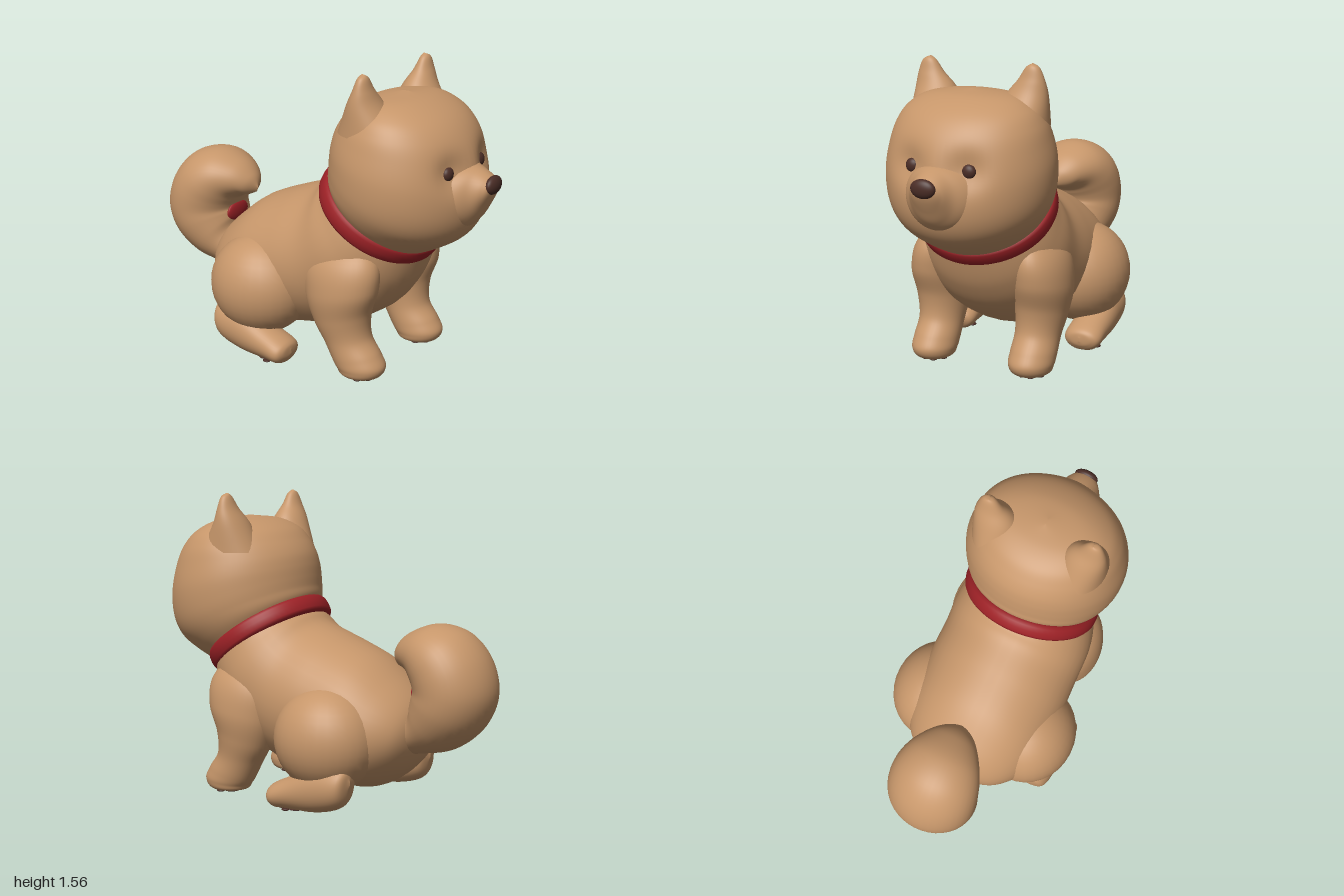
import * as THREE from 'three';

const mat = (name, color) => Object.assign(new THREE.MeshStandardMaterial({ color }), { name });

// Smooth skin through stations [ax, ay, bx, by, halfWidth]: a and b are opposite
// outline points in the side plane, halfWidth is the reach in z, cz the z centre.
function loft(stations, { cz = 0, rings = 8, sides = 40, floor = -1 } = {}) {
  const A = new THREE.CatmullRomCurve3(stations.map(s => new THREE.Vector3(s[0], s[1], s[4])), false, 'catmullrom');
  const B = new THREE.CatmullRomCurve3(stations.map(s => new THREE.Vector3(s[2], s[3], s[5] ?? 0)), false, 'catmullrom');
  const n = (stations.length - 1) * rings, pos = [], index = [];
  for (let i = 0; i <= n; i++) {
    const a = A.getPoint(i / n), b = B.getPoint(i / n), w = Math.max(a.z, 0);
    for (let j = 0; j < sides; j++) {
      const t = (j / sides) * Math.PI * 2, c = Math.cos(t) / 2;
      pos.push(
        (a.x + b.x) / 2 + (a.x - b.x) * c,
        Math.max(floor, (a.y + b.y) / 2 + (a.y - b.y) * c),
        cz + Math.sign(cz) * b.z + w * Math.sin(t));
      if (i < n) {
        const k = (j + 1) % sides, p = i * sides, q = p + sides;
        index.push(p + j, p + k, q + j, p + k, q + k, q + j);
      }
    }
  }
  const g = new THREE.BufferGeometry();
  g.setAttribute('position', new THREE.Float32BufferAttribute(pos, 3));
  g.setIndex(index);
  g.computeVertexNormals();
  return g;
}

export function createModel() {
  const fur = mat('tan fur', 0xc6966a);
  const red = mat('red collar', 0x9c2126);
  const dark = mat('dark brown', 0x4a2d26);
  const root = new THREE.Group();
  root.name = 'sittingDog';

  const add = (name, geometry, material) => {
    const m = new THREE.Mesh(geometry, material);
    m.name = name;
    root.add(m);
    return m;
  };
  const ball = (name, material, [x, y, z], [rx, ry, rz]) => {
    const m = add(name, new THREE.SphereGeometry(1, 32, 20), material);
    m.position.set(x, y, z);
    m.scale.set(rx, ry, rz);
    return m;
  };

  // Torso, rump to neck
  add('body', loft([
    [-0.62, 0.40, -0.62, 0.38, 0],
    [-0.61, 0.48, -0.59, 0.28, 0.16],
    [-0.57, 0.56, -0.52, 0.18, 0.26],
    [-0.48, 0.65, -0.40, 0.10, 0.34],
    [-0.34, 0.755, -0.25, 0.08, 0.38],
    [-0.15, 0.835, 0.00, 0.12, 0.39],
    [0.00, 0.89, 0.20, 0.17, 0.385],
    [0.06, 0.935, 0.42, 0.30, 0.385],
    [0.09, 0.96, 0.54, 0.45, 0.365],
    [0.11, 1.00, 0.60, 0.60, 0.335],
    [0.15, 1.02, 0.61, 0.66, 0.30],
  ]), fur);

  // Head, crown down to neck
  const head = loft([
    [0.49, 1.435, 0.46, 1.435, 0],
    [0.62, 1.412, 0.34, 1.412, 0.21],
    [0.74, 1.35, 0.25, 1.37, 0.315],
    [0.82, 1.26, 0.19, 1.31, 0.37],
    [0.87, 1.14, 0.15, 1.25, 0.40],
    [0.89, 1.00, 0.13, 1.19, 0.42],
    [0.875, 0.86, 0.12, 1.13, 0.42],
    [0.82, 0.76, 0.115, 1.08, 0.405],
    [0.72, 0.69, 0.11, 1.03, 0.37],
    [0.60, 0.63, 0.13, 0.96, 0.31],
  ], { sides: 72 });
  // Shallow eye sockets
  const hp = head.attributes.position;
  for (let i = 0; i < hp.count; i++) {
    const x = hp.getX(i);
    if (x < 0.6) continue;
    const dy = hp.getY(i) - 1.11, dz = Math.abs(hp.getZ(i)) - 0.147;
    hp.setX(i, x - 0.04 * Math.exp(-(dy * dy + dz * dz) / 0.008));
  }
  head.computeVertexNormals();
  add('head', head, fur);

  add('muzzle', loft([
    [0.76, 1.15, 0.76, 0.80, 0.22],
    [0.85, 1.135, 0.85, 0.82, 0.165],
    [0.90, 1.12, 0.905, 0.87, 0.115],
    [0.95, 1.095, 0.94, 0.93, 0.085],
    [0.98, 1.07, 0.965, 0.98, 0.055],
    [0.985, 1.04, 0.98, 1.02, 0],
  ]), fur);
  ball('nose', dark, [0.971, 1.05, 0], [0.029, 0.046, 0.064]);

  // Curled tail, root to tip
  add('tail', loft([
    [-0.50, 0.27, -0.50, 0.50, 0.12],
    [-0.62, 0.29, -0.58, 0.53, 0.15],
    [-0.80, 0.335, -0.585, 0.585, 0.195],
    [-0.94, 0.45, -0.59, 0.61, 0.225],
    [-1.00, 0.61, -0.595, 0.625, 0.235],
    [-0.96, 0.78, -0.59, 0.645, 0.235],
    [-0.85, 0.905, -0.58, 0.665, 0.22],
    [-0.70, 0.945, -0.565, 0.69, 0.185],
    [-0.56, 0.90, -0.53, 0.71, 0.13],
    [-0.48, 0.83, -0.50, 0.715, 0.075],
    [-0.45, 0.76, -0.46, 0.735, 0],
  ]), fur);
  ball('tailInnerPatch', red, [-0.597, 0.60, 0], [0.02, 0.055, 0.085]);

  // Collar: rounded band, tilted forward
  const band = [[0.27, -0.045], [0.31, -0.048], [0.328, -0.043], [0.336, -0.028], [0.339, 0],
    [0.336, 0.028], [0.328, 0.043], [0.31, 0.048], [0.27, 0.045]];
  const collar = add('collar', new THREE.LatheGeometry(band.map(p => new THREE.Vector2(...p)), 72), red);
  collar.position.set(0.347, 0.808, 0);
  collar.rotation.z = -0.61;
  collar.scale.z = 1.07;

  // Paw pads: one large pad and four toes
  const pads = (name, x, z, s) => {
    ball(name, dark, [x, 0.007, z], [0.042, 0.007, 0.05]);
    [[0.035, -0.068], [0.075, -0.026], [0.075, 0.026], [0.035, 0.068]].forEach(([dx, dz]) =>
      ball(name + 'Toe', dark, [x + dx, 0.007, z + dz * s], [0.021, 0.007, 0.017]));
  };

  for (const [side, s] of [['left', -1], ['right', 1]].map(([n, v]) => [n, v])) {
    ball(side + 'Eye', dark, [0.805, 1.11, s * 0.147], [0.026, 0.036, 0.037]);

    // Ear, tip down to base
    add(side + 'Ear', loft([
      [0.415, 1.56, 0.40, 1.56, 0, 0.025],
      [0.435, 1.54, 0.385, 1.54, 0.035, 0.028],
      [0.455, 1.48, 0.36, 1.48, 0.068, 0.02],
      [0.495, 1.40, 0.315, 1.40, 0.108, -0.005],
      [0.60, 1.26, 0.25, 1.26, 0.14, -0.03],
    ], { cz: s * 0.25 }), fur);

    // Front leg, shoulder to paw
    add(side + 'FrontLeg', loft([
      [0.36, 0.76, 0.30, 0.74, 0, -0.03],
      [0.49, 0.62, 0.10, 0.60, 0.12, -0.005],
      [0.50, 0.48, 0.10, 0.42, 0.145, 0.01],
      [0.455, 0.34, 0.15, 0.27, 0.13, 0.005],
      [0.455, 0.22, 0.21, 0.17, 0.115, 0],
      [0.51, 0.135, 0.26, 0.08, 0.115, 0],
      [0.543, 0.07, 0.285, 0.045, 0.112, 0],
      [0.51, 0.018, 0.31, 0.018, 0.09, 0],
      [0.42, 0.008, 0.40, 0.008, 0, 0],
    ], { cz: s * 0.275, floor: 0.008 }), fur);
    pads(side + 'FrontPad', 0.39, s * 0.275, 0.85);

    // Thigh and hind foot
    ball(side + 'Thigh', fur, [-0.22, 0.36, s * 0.27], [0.275, 0.265, 0.25]);
    add(side + 'HindFoot', loft([
      [-0.43, 0.19, -0.43, 0.17, 0],
      [-0.40, 0.25, -0.39, 0.06, 0.08],
      [-0.25, 0.25, -0.25, 0.01, 0.10],
      [-0.10, 0.18, -0.08, 0.00, 0.10],
      [0.00, 0.135, 0.00, 0.00, 0.098],
      [0.035, 0.11, 0.033, 0.03, 0.065],
      [0.044, 0.08, 0.044, 0.06, 0],
    ], { cz: s * 0.37, floor: 0.008 }), fur);
    pads(side + 'HindPad', -0.11, s * 0.37, 0.8);
  }
  return root;
}
